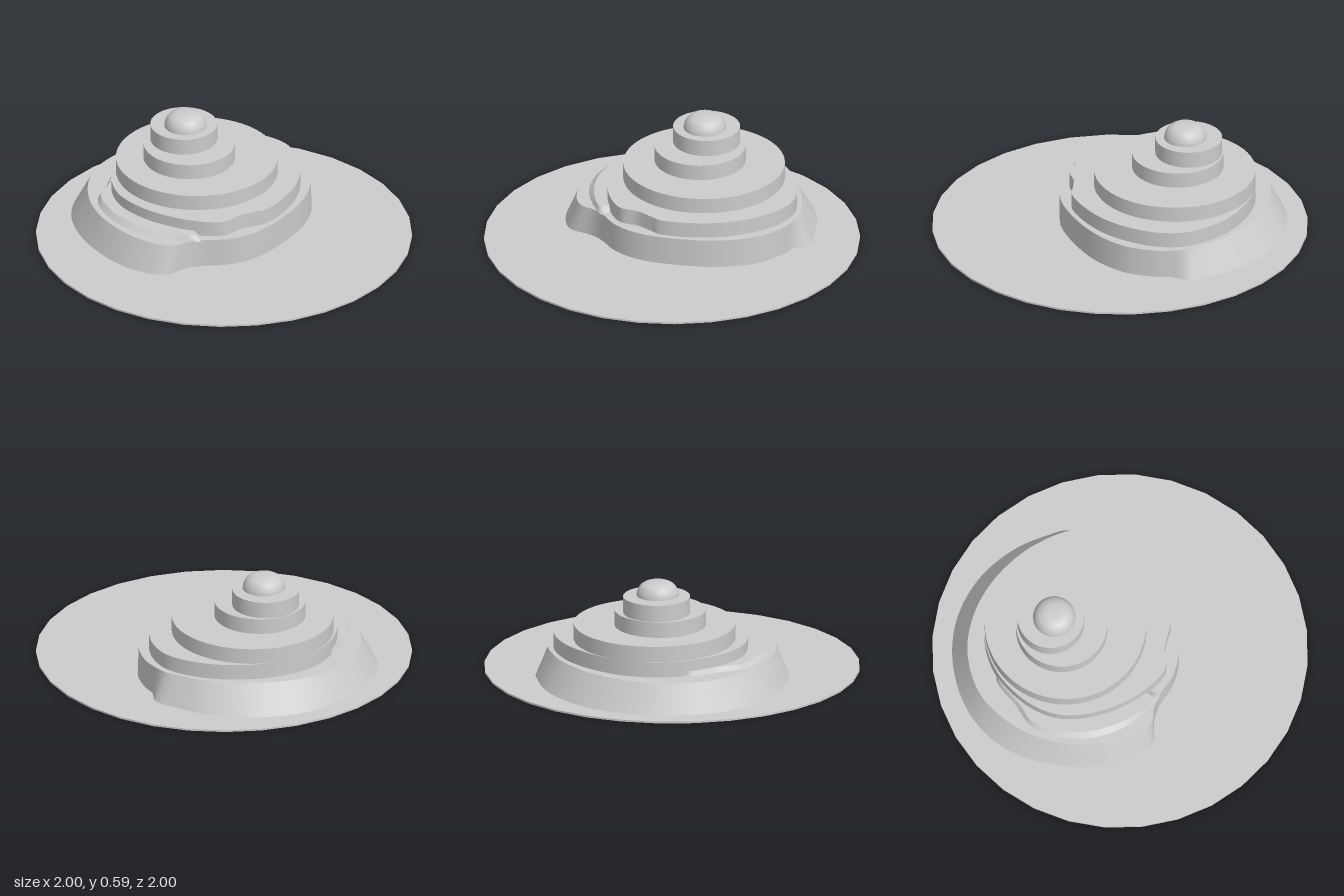
import * as THREE from 'three';

const material = new THREE.MeshStandardMaterial({ color: 0xcccccc });

// Smooth closed outline through [x, z] points
function outline(points, y, samples) {
  const curve = new THREE.CatmullRomCurve3(points.map(([x, z]) => new THREE.Vector3(x, y, z)), true);
  return Array.from({ length: samples }, (_, i) => curve.getPoint(i / samples));
}

// Terrace: wall lofted between two matching outlines, closed by a flat top
function terrace(name, bottom, top, y0, y1) {
  const n = bottom.length * 8;
  const low = outline(bottom, y0, n);
  const high = outline(top, y1, n);
  const index = [];
  for (let i = 0; i < n; i++) {
    const j = (i + 1) % n;
    index.push(i, n + i, j, j, n + i, n + j);
  }
  const wall = new THREE.BufferGeometry().setFromPoints([...low, ...high]);
  wall.setIndex(index);
  wall.computeVertexNormals();

  const cap = new THREE.ShapeGeometry(new THREE.Shape(high.map(p => new THREE.Vector2(p.x, -p.z))));
  cap.rotateX(-Math.PI / 2).translate(0, y1, 0);

  const group = new THREE.Group();
  group.name = name;
  for (const [part, geometry] of [['Wall', wall], ['Top', cap]]) {
    const mesh = new THREE.Mesh(geometry, material);
    mesh.name = name + part;
    group.add(mesh);
  }
  return group;
}

// Round tier
function tier(name, x, z, radius, y0, y1, sides = 64) {
  const mesh = new THREE.Mesh(new THREE.CylinderGeometry(radius, radius, y1 - y0, sides), material);
  mesh.position.set(x, (y0 + y1) / 2, z);
  mesh.name = name;
  return mesh;
}

export function createModel() {
  const model = new THREE.Group();
  model.name = 'terracedMound';

  // Ground disc
  model.add(tier('groundDisc', 0, 0, 1, 0, 0.01, 32));

  // Lower slope: [bottom x, bottom z, top x, top z], flared at the back and left, upright at the front right
  const slope = [
    [-0.15, -0.84, -0.14, -0.74], [0.09, -0.8, 0.09, -0.71], [0.26, -0.715, 0.22, -0.655],
    [0.365, -0.635, 0.31, -0.605], [0.385, -0.53, 0.375, -0.53], [0.425, -0.45, 0.42, -0.45],
    [0.46, -0.29, 0.455, -0.29], [0.42, -0.09, 0.415, -0.09], [0.3, 0.12, 0.3, 0.12],
    [0.165, 0.27, 0.165, 0.27], [0.03, 0.34, 0.03, 0.34], [-0.12, 0.36, -0.11, 0.355],
    [-0.2, 0.39, -0.18, 0.375], [-0.29, 0.455, -0.25, 0.415], [-0.36, 0.455, -0.34, 0.405],
    [-0.52, 0.375, -0.49, 0.31], [-0.72, 0.13, -0.65, 0.11], [-0.815, -0.16, -0.725, -0.13],
    [-0.77, -0.42, -0.7, -0.39], [-0.61, -0.65, -0.56, -0.59], [-0.4, -0.79, -0.37, -0.7],
  ];
  model.add(terrace('lowerSlope', slope.map(p => [p[0], p[1]]), slope.map(p => [p[2], p[3]]), 0.01, 0.165));

  // Low ledge along the left side of the plan
  const ledge = [
    [-0.3, -0.2, -0.3, -0.2], [-0.2, 0.2, -0.2, 0.2], [-0.12, 0.3, -0.15, 0.3],
    [-0.11, 0.355, -0.16, 0.345], [-0.26, 0.355, -0.26, 0.335], [-0.42, 0.305, -0.4, 0.275],
    [-0.555, 0.2, -0.53, 0.175], [-0.65, 0.05, -0.625, 0.03], [-0.675, -0.07, -0.655, -0.08],
    [-0.64, -0.19, -0.62, -0.19], [-0.567, -0.39, -0.56, -0.38],
  ];
  model.add(terrace('ledge', ledge.map(p => [p[0], p[1]]), ledge.map(p => [p[2], p[3]]), 0.16, 0.19));

  // Middle terrace with a notch at the front
  const middle = [
    [-0.155, -0.69], [0.085, -0.68], [0.29, -0.58], [0.37, -0.455], [0.4, -0.295], [0.38, -0.11],
    [0.3, 0.07], [0.22, 0.17], [0.165, 0.195], [0.085, 0.235], [0.015, 0.3], [-0.075, 0.31],
    [-0.24, 0.27], [-0.42, 0.17], [-0.55, 0.03], [-0.6, -0.13], [-0.58, -0.35], [-0.49, -0.52],
    [-0.35, -0.63],
  ];
  model.add(terrace('middleTerrace', middle, middle, 0.16, 0.25));

  // Stacked round tiers
  model.add(tier('wideTier', -0.15, -0.25, 0.43, 0.25, 0.335));
  model.add(tier('narrowTier', -0.19, -0.245, 0.243, 0.335, 0.42));
  model.add(tier('topTier', -0.22, -0.295, 0.178, 0.42, 0.51));

  // Rounded summit cap
  const side = new THREE.SplineCurve([
    [0.113, 0], [0.108, 0.025], [0.09, 0.055], [0.06, 0.072], [0.03, 0.077], [0, 0.078],
  ].map(([r, y]) => new THREE.Vector2(r, y)));
  const dome = new THREE.Mesh(new THREE.LatheGeometry(side.getPoints(20), 48), material);
  dome.position.set(-0.21, 0.51, -0.28);
  dome.name = 'summitDome';
  model.add(dome);

  return model;
}
